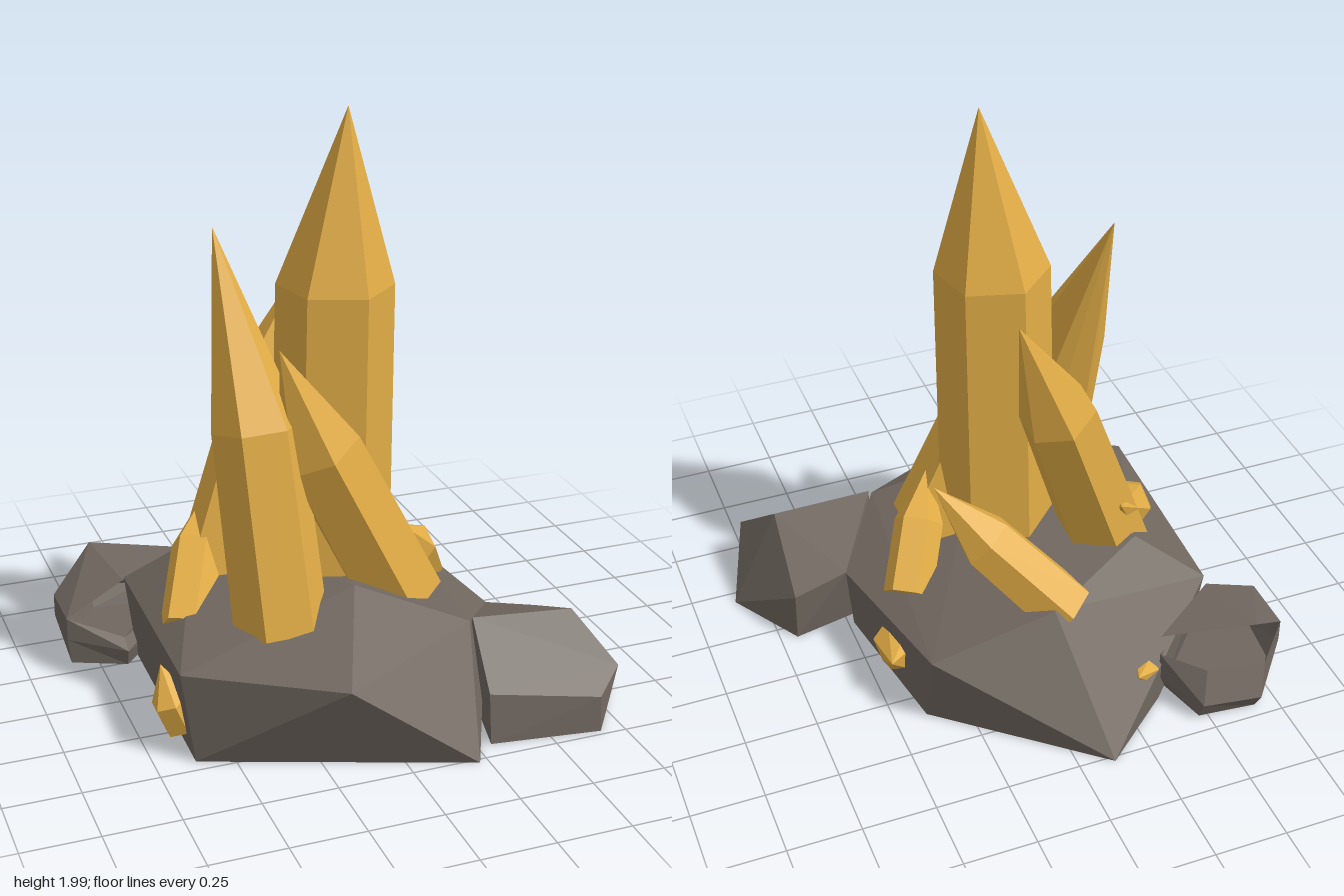
import * as THREE from 'three';
import { ConvexGeometry } from 'three/addons/geometries/ConvexGeometry.js';

const V = (p) => new THREE.Vector3(...p);

// Six-sided shard: base ring, shoulder ring square to the axis, then a point
function crystalGeometry({ base, shoulder, tip, r, rBase = r, spin = 0 }) {
  const a = V(base), b = V(shoulder);
  const turn = new THREE.Quaternion().setFromUnitVectors(
    new THREE.Vector3(0, 1, 0), b.clone().sub(a).normalize());
  const points = [V(tip)];
  for (const [centre, radius] of [[a, rBase], [b, r]]) {
    for (let i = 0; i < 6; i++) {
      const t = spin + (i * Math.PI) / 3;
      points.push(new THREE.Vector3(Math.sin(t) * radius, 0, Math.cos(t) * radius)
        .applyQuaternion(turn).add(centre));
    }
  }
  return new ConvexGeometry(points);
}

// Flat-shaded faces from a list of triangle corners
function facetGeometry(corners) {
  const geometry = new THREE.BufferGeometry().setFromPoints(corners.map(V));
  geometry.computeVertexNormals();
  return geometry;
}

export function createModel() {
  const model = new THREE.Group();
  model.name = 'crystalCluster';
  const stone = new THREE.MeshStandardMaterial({ color: 0x70675f, side: THREE.DoubleSide, flatShading: true });
  stone.name = 'greyStone';
  const gold = new THREE.MeshStandardMaterial({ color: 0xe2ad46, flatShading: true });
  gold.name = 'goldCrystal';

  const add = (name, geometry, material) => {
    const mesh = new THREE.Mesh(geometry, material);
    mesh.name = name;
    model.add(mesh);
  };
  const rock = (name, points) => add(name, new ConvexGeometry(points.map(V)), stone);

  // Large base rock
  rock('baseRock', [
    [-0.62, 0.01, 0.45], [0.22, 0.01, 0.77], [0.48, 0.01, 0.19], [0.39, 0.01, -0.34],
    [-0.12, 0.01, -0.77], [-0.38, 0.01, -0.55], [-0.61, 0.01, -0.3],
    [-0.66, 0.32, 0.44], [-0.2, 0.32, 0.73], [0.31, 0.35, 0.47], [0.5, 0.25, 0.19],
    [0.39, 0.3, -0.41], [-0.64, 0.3, -0.33],
    [-0.05, 0.49, 0.36], [-0.42, 0.46, -0.22], [-0.03, 0.43, -0.45],
  ]);

  // Boulder at the front left
  rock('frontBoulder', [
    [0.3, 0.01, 0.68], [0.67, 0.01, 0.73], [0.85, 0.01, 0.45], [0.69, 0.01, 0.19], [0.4, 0.01, 0.25],
    [0.3, 0.18, 0.66], [0.32, 0.36, 0.47], [0.67, 0.34, 0.49], [0.5, 0.25, 0.19],
    [0.69, 0.2, 0.18], [0.76, 0.2, 0.66], [0.67, 0.13, 0.72],
  ]);

  // Small hollow boulder at the back right: three rings and a floor
  const rings = [
    [[-0.66, 0.01, -0.24], [-0.84, 0.01, -0.32], [-0.82, 0.01, -0.5],
      [-0.67, 0.01, -0.7], [-0.47, 0.01, -0.68], [-0.42, 0.01, -0.5]],
    [[-0.66, 0.07, -0.22], [-0.85, 0.1, -0.32], [-0.85, 0.1, -0.52],
      [-0.67, 0.08, -0.74], [-0.47, 0.08, -0.71], [-0.38, 0.1, -0.54]],
    [[-0.66, 0.1, -0.27], [-0.85, 0.18, -0.32], [-0.85, 0.18, -0.52],
      [-0.7, 0.19, -0.69], [-0.5, 0.19, -0.66], [-0.38, 0.2, -0.54]],
  ];
  const shell = [];
  for (let i = 0; i < 6; i++) {
    const j = (i + 1) % 6;
    for (let k = 0; k < 2; k++) {
      const [low, high] = [rings[k], rings[k + 1]];
      shell.push(low[i], high[i], high[j], low[i], high[j], low[j]);
    }
    shell.push([-0.64, 0.01, -0.48], rings[0][i], rings[0][j]);
  }
  add('backBoulder', facetGeometry(shell), stone);

  // Thin slab tilted over the small boulder
  const rim = [[-0.38, 0.28, -0.54], [-0.64, 0.28, -0.35], [-0.85, 0.18, -0.32], [-0.85, 0.18, -0.52]];
  const slab = [];
  for (let i = 0; i < rim.length - 1; i++) slab.push([-0.69, 0.31, -0.63], rim[i + 1], rim[i]);
  add('boulderSlab', facetGeometry(slab), stone);

  // Crystals, tallest first
  const crystals = {
    mainCrystal: { base: [-0.04, 0.34, 0.1], shoulder: [-0.025, 1.43, 0.115], tip: [0.01, 2, 0.135], r: 0.19, rBase: 0.2, spin: 0.22 },
    frontRightCrystal: { base: [-0.29, 0.37, 0.33], shoulder: [-0.325, 1.02, 0.21], tip: [-0.38, 1.61, -0.04], r: 0.145, rBase: 0.155, spin: 0.42 },
    backCrystal: { base: [-0.38, 0.36, -0.08], shoulder: [-0.13, 1.04, -0.2], tip: [0.03, 1.44, -0.26], r: 0.13, rBase: 0.15 },
    frontLeaningCrystal: { base: [0.16, 0.36, 0.22], shoulder: [-0.125, 0.93, 0.24], tip: [-0.27, 1.29, 0.28], r: 0.14, rBase: 0.155 },
    backLeftCrystal: { base: [-0.1, 0.36, -0.38], shoulder: [0.13, 0.61, -0.23], tip: [0.27, 0.79, -0.12], r: 0.1, rBase: 0.11 },
    rightCrystal: { base: [-0.55, 0.31, 0.13], shoulder: [-0.44, 0.49, -0.09], tip: [-0.35, 0.63, -0.25], r: 0.09 },
    leftCrystal: { base: [0.35, 0.3, -0.05], shoulder: [0.25, 0.47, 0.11], tip: [0.17, 0.61, 0.23], r: 0.085 },
    leftShard: { base: [0.38, 0.09, -0.09], shoulder: [0.42, 0.18, -0.13], tip: [0.48, 0.2, -0.26], r: 0.085 },
    rightShard: { base: [-0.62, 0.07, 0.31], shoulder: [-0.66, 0.17, 0.31], tip: [-0.67, 0.26, 0.24], r: 0.065 },
    backShard: { base: [-0.4, 0.1, -0.46], shoulder: [-0.33, 0.14, -0.53], tip: [-0.27, 0.19, -0.61], r: 0.05 },
  };
  for (const [name, spec] of Object.entries(crystals)) add(name, crystalGeometry(spec), gold);

  return model;
}
